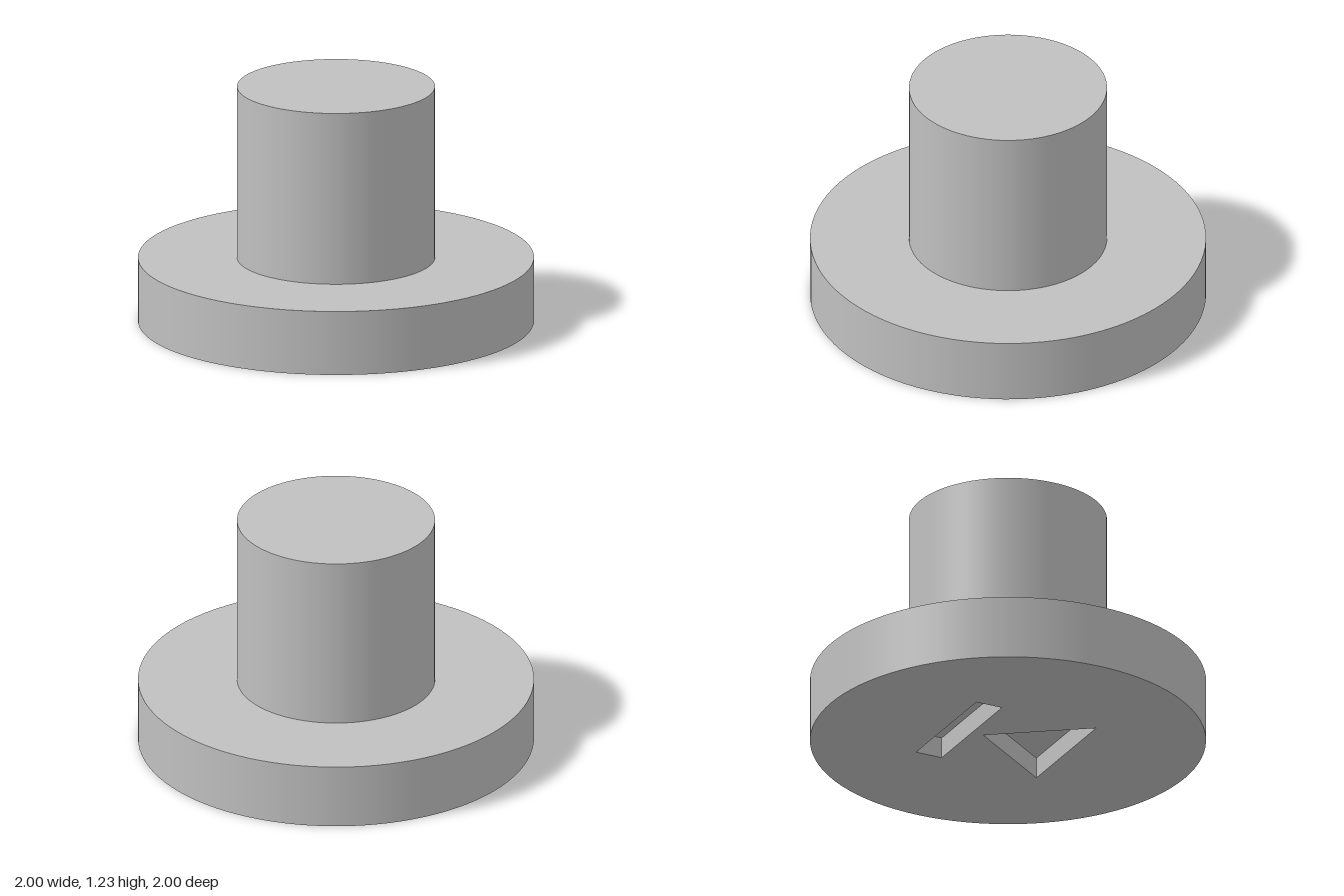
import * as THREE from 'three';

const SEG = 96;
const BASE_R = 1, BASE_H = 0.333;
const POST_R = 0.5, TOP = 1.23;
const RECESS = 0.11;

// Recess outlines in (x, z), counter-clockwise
const RECESSES = {
  barRecess: [[-0.335, -0.35], [0.335, -0.35], [0.335, -0.205], [-0.335, -0.205]],
  triangleRecess: [[0, -0.14], [0.333, 0.33], [-0.333, 0.33]],
};

const toVectors = (pts) => pts.map(([x, z]) => new THREE.Vector2(x, z));

// Inward-facing side walls of a recess, from y = 0 up to its floor
function recessWalls(pts) {
  const pos = [];
  pts.forEach(([ax, az], i) => {
    const [bx, bz] = pts[(i + 1) % pts.length];
    pos.push(ax, 0, az, bx, 0, bz, bx, RECESS, bz);
    pos.push(ax, 0, az, bx, RECESS, bz, ax, RECESS, az);
  });
  const geo = new THREE.BufferGeometry();
  geo.setAttribute('position', new THREE.Float32BufferAttribute(pos, 3));
  geo.computeVertexNormals();
  return geo;
}

export function createModel() {
  const grey = new THREE.MeshStandardMaterial({ color: 0xc0c0c0 });
  grey.name = 'grey';
  const model = new THREE.Group();
  model.name = 'flangedPlug';

  const add = (name, geo, parent = model) => {
    const mesh = new THREE.Mesh(geo, grey);
    mesh.name = name;
    parent.add(mesh);
    return mesh;
  };

  // Post
  const postH = TOP - BASE_H;
  add('post', new THREE.CylinderGeometry(POST_R, POST_R, postH, SEG))
    .position.y = BASE_H + postH / 2;

  // Base disc: rim, upper face and pierced underside
  const base = new THREE.Group();
  base.name = 'base';
  model.add(base);
  add('baseRim', new THREE.CylinderGeometry(BASE_R, BASE_R, BASE_H, SEG, 1, true), base)
    .position.y = BASE_H / 2;
  add('baseTop', new THREE.RingGeometry(POST_R, BASE_R, SEG).rotateX(-Math.PI / 2), base)
    .position.y = BASE_H;

  const underside = new THREE.Shape().absarc(0, 0, BASE_R, 0, Math.PI * 2, false);
  for (const pts of Object.values(RECESSES)) underside.holes.push(new THREE.Path(toVectors(pts)));
  add('baseUnderside', new THREE.ShapeGeometry(underside, SEG / 2).rotateX(Math.PI / 2), base);

  // Bar and triangle sunk into the underside
  for (const [name, pts] of Object.entries(RECESSES)) {
    const recess = new THREE.Group();
    recess.name = name;
    base.add(recess);
    add(name + 'Walls', recessWalls(pts), recess);
    const floor = new THREE.ShapeGeometry(new THREE.Shape(toVectors(pts)));
    add(name + 'Floor', floor.rotateX(Math.PI / 2), recess).position.y = RECESS;
  }

  return model;
}
